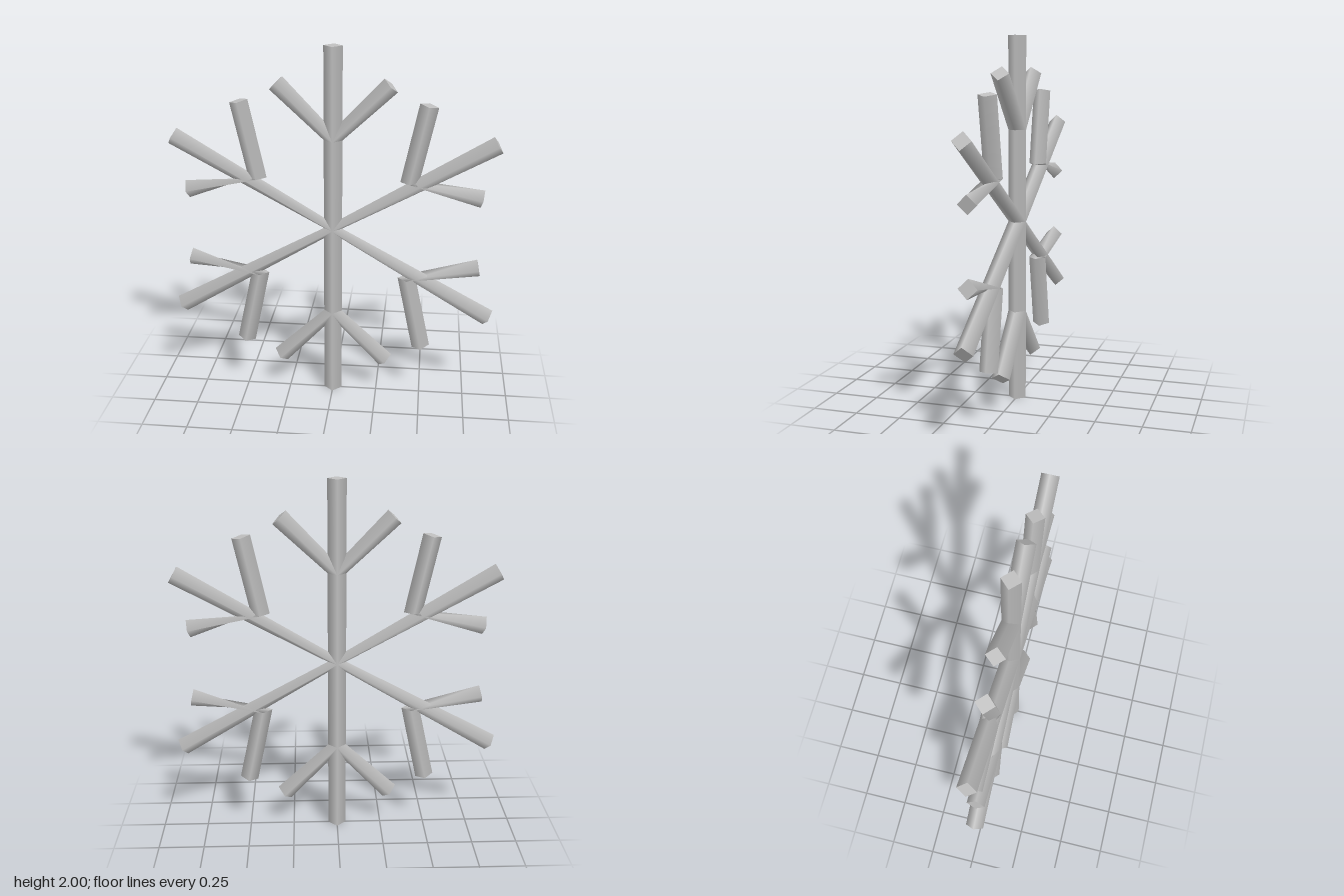
import * as THREE from 'three';

const R = 0.05; // rod radius

// Four-sided rod whose base ring stays level while its tip ring is square to the rod
function rodGeometry(x0, y0, x1, y1) {
  const geo = new THREE.CylinderGeometry(R, R, 1, 4, 1);
  const pos = geo.attributes.position, nor = geo.attributes.normal;
  const axis = new THREE.Vector3(0, 0, 1);
  const angle = -Math.atan2(x1 - x0, y1 - y0);
  const v = new THREE.Vector3(), n = new THREE.Vector3();
  for (let i = 0; i < pos.count; i++) {
    v.fromBufferAttribute(pos, i);
    n.fromBufferAttribute(nor, i);
    const tip = v.y > 0;
    v.y = 0;
    if (tip) v.applyAxisAngle(axis, angle).add(new THREE.Vector3(x1, y1, 0));
    else v.add(new THREE.Vector3(x0, y0, 0));
    // sides and tip lean with the rod, the base cap stays level
    if (n.y > -0.5) n.applyAxisAngle(axis, angle);
    pos.setXYZ(i, v.x, v.y, v.z);
    nor.setXYZ(i, n.x, n.y, n.z);
  }
  return geo;
}

export function createModel() {
  const gray = new THREE.MeshStandardMaterial({ color: 0xc0c0c0, side: THREE.DoubleSide });
  gray.name = 'gray';
  const model = new THREE.Group();
  model.name = 'snowflake';

  // Upper half around the hub; the lower half is the same, flipped over
  const buildHalf = (name) => {
    const half = new THREE.Group();
    half.name = name;
    const rod = (part, ...ends) => {
      const mesh = new THREE.Mesh(rodGeometry(...ends), gray);
      mesh.name = part;
      half.add(mesh);
    };
    rod('verticalArm', 0, 0, 0, 1);
    for (const s of [1, -1]) {
      const side = s > 0 ? 'left' : 'right';
      rod(side + 'VerticalTwig', 0, 0.5, s * 0.3, 0.8);
      rod(side + 'DiagonalArm', 0, 0, s * 0.866, 0.5);
      rod(side + 'InnerTwig', s * 0.41, 0.28, s * 0.5, 0.7);
      rod(side + 'OuterTwig', s * 0.41, 0.28, s * 0.8, 0.2);
    }
    half.position.y = 1;
    model.add(half);
    return half;
  };
  buildHalf('upperHalf');
  buildHalf('lowerHalf').rotation.x = Math.PI;
  return model;
}
